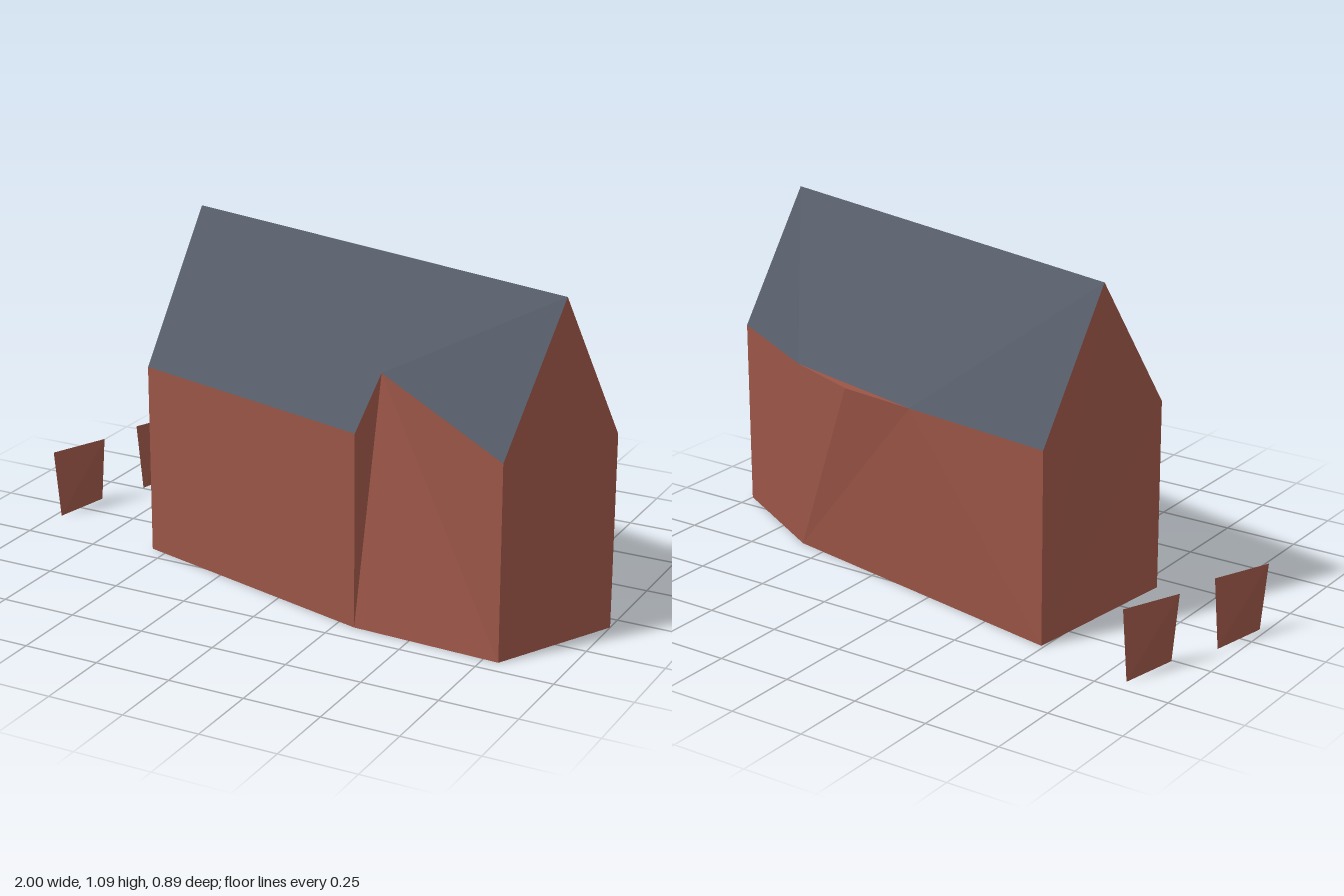
import * as THREE from 'three';
import { ConvexGeometry } from 'three/addons/geometries/ConvexGeometry.js';

const brick = new THREE.MeshStandardMaterial({ name: 'brick', color: 0x9a5546 });
const slate = new THREE.MeshStandardMaterial({ name: 'slate', color: 0x555c68 });

// Flat-shaded mesh from convex faces, each listed counter-clockwise and fanned from its first corner
function facets(name, material, faces) {
  const points = [];
  for (const face of faces) {
    for (let i = 1; i < face.length - 1; i++) points.push(face[0], face[i], face[i + 1]);
  }
  const geometry = new THREE.BufferGeometry().setFromPoints(points);
  geometry.computeVertexNormals();
  const mesh = new THREE.Mesh(geometry, material);
  mesh.name = name;
  return mesh;
}

const v = (x, y, z) => new THREE.Vector3(x, y, z);

export function createModel() {
  const model = new THREE.Group();
  model.name = 'house';

  // Footprint, counter-clockwise from above, repeated at eave height
  const eave = 0.63;
  const plan = [[-0.555, 0.19], [0.31, 0.425], [0.8, 0.445], [1, 0.06], [0.6, -0.165], [-0.49, -0.385]];
  const foot = plan.map(([x, z]) => v(x, 0, z));
  const [b0, c0, d0, e0, f0, a0] = foot;
  const [b, c, d, e, f, a] = plan.map(([x, z]) => v(x, eave, z));

  // Ridge ends, front valley point and the bulge in the back wall
  const ridgeW = v(-0.535, 1.09, -0.13);
  const ridgeE = v(0.9, 1.09, 0.245);
  const valley = v(0.34, 0.79, 0.31);
  const bulge = v(0.33, eave, -0.27);
  const backEave = v(0.05, eave, -0.31);

  model.add(
    facets('frontWall', brick, [[b0, c0, c, b], [c0, valley, c], [d0, d, valley, c0]]),
    facets('leftGable', brick, [[d0, e0, e, ridgeE, d]]),
    facets('rightGable', brick, [[a0, b0, b, ridgeW, a]]),
    facets('backWall', brick, [[e0, f0, f, e], [f0, bulge, f], [f0, backEave, bulge],
      [f0, a0, backEave], [a0, a, backEave]]),
    facets('backLedge', brick, [[f, bulge, backEave]]),
    facets('floor', brick, [[...foot].reverse()]),
    facets('frontRoof', slate, [[b, c, ridgeW], [c, valley, ridgeW], [valley, ridgeE, ridgeW], [valley, d, ridgeE]]),
    facets('backRoof', slate, [[e, f, ridgeE], [f, ridgeW, ridgeE], [f, backEave, ridgeW], [backEave, a, ridgeW]])
  );

  // Two slim, slightly twisted standing slabs beside the house
  [[-0.85, -0.35], [-0.96, -0.003]].forEach(([x, z], i) => {
    const slab = new THREE.Mesh(new ConvexGeometry([
      v(0.04, 0.225, -0.095), v(-0.04, 0.225, 0.095),
      v(0.02, 0, -0.1), v(-0.018, 0, 0.095),
    ]), brick);
    slab.name = i ? 'frontSlab' : 'backSlab';
    slab.position.set(x, 0, z);
    model.add(slab);
  });

  return model;
}
